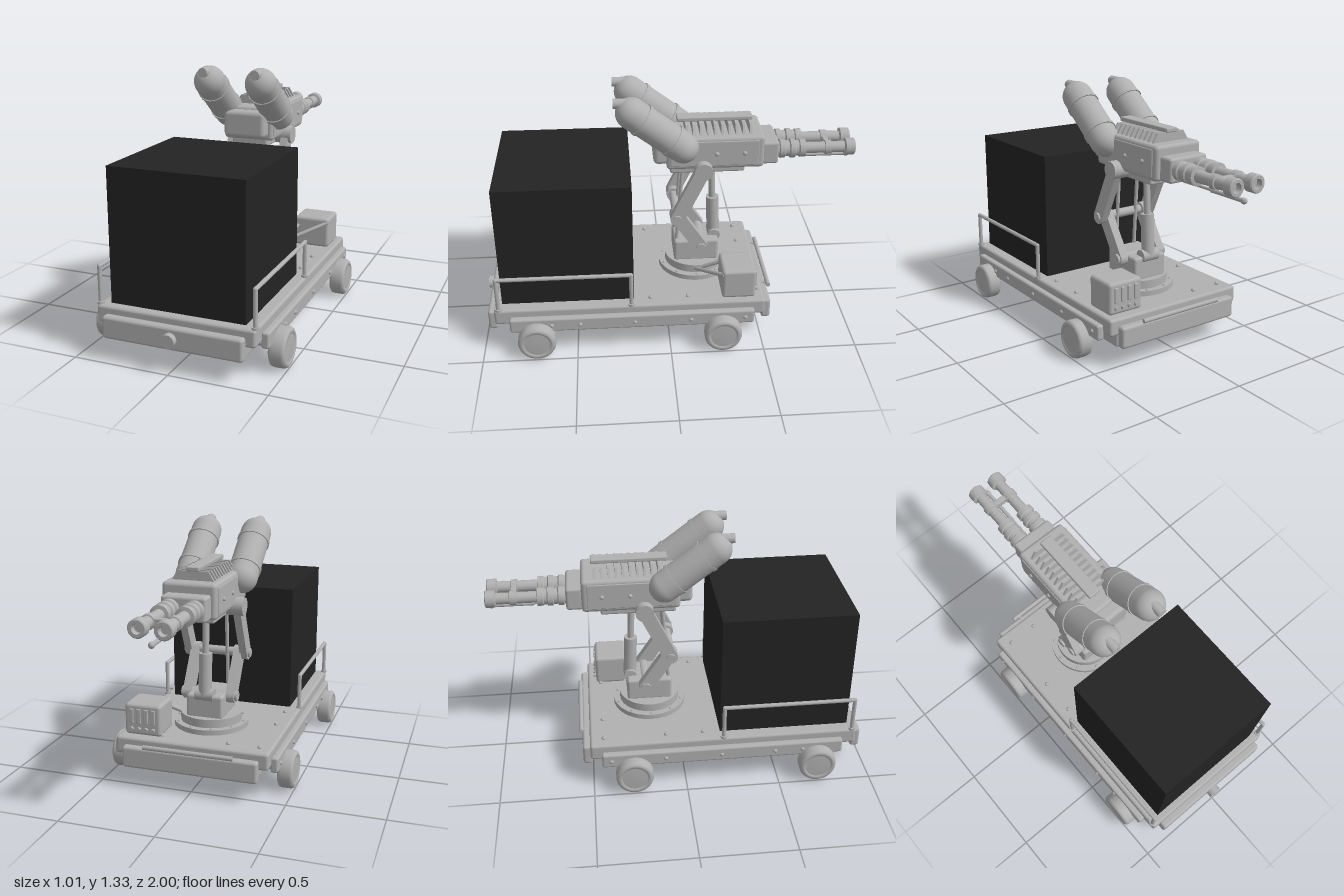
import * as THREE from 'three';
import { RoundedBoxGeometry } from 'three/addons/geometries/RoundedBoxGeometry.js';

const grey = new THREE.MeshStandardMaterial({ color: 0xb0b0b0 });
grey.name = 'light grey';
const black = new THREE.MeshStandardMaterial({ color: 0x232323 });
black.name = 'black';
const V = (x, y, z) => new THREE.Vector3(x, y, z);

export function createModel() {
  const root = new THREE.Group();
  root.name = 'turretCart';

  const add = (name, geo, mat = grey) => {
    const m = new THREE.Mesh(geo, mat);
    m.name = name;
    root.add(m);
    return m;
  };
  // Rounded box given by its limits on each axis
  const box = (name, x0, x1, y0, y1, z0, z1, r = 0.012) => {
    const w = x1 - x0, h = y1 - y0, d = z1 - z0;
    const m = add(name, new RoundedBoxGeometry(w, h, d, 2, Math.min(r, w / 2.1, h / 2.1, d / 2.1)));
    m.position.set((x0 + x1) / 2, (y0 + y1) / 2, (z0 + z1) / 2);
    return m;
  };
  // Turn a y-axis mesh to run between two points
  const align = (m, a, b) => {
    m.position.copy(a).add(b).multiplyScalar(0.5);
    m.quaternion.setFromUnitVectors(V(0, 1, 0), b.clone().sub(a).normalize());
    return m;
  };
  const rod = (name, a, b, r, seg = 24) =>
    align(add(name, new THREE.CylinderGeometry(r, r, a.distanceTo(b), seg)), a, b);
  const ball = (name, x, y, z, r) =>
    add(name, new THREE.SphereGeometry(r, 14, 10)).position.set(x, y, z);
  const sides = [-1, 1];

  // Chassis
  box('deck', -0.41, 0.41, 0.172, 0.262, -0.51, 0.93, 0.015);
  box('underbody', -0.33, 0.33, 0.075, 0.18, -0.45, 0.85);
  box('frontBumper', -0.363, 0.363, 0.11, 0.225, 0.92, 0.97, 0.015);
  box('rearBumper', -0.363, 0.363, 0.11, 0.225, -0.55, -0.5, 0.015);
  rod('frontKnob', V(0, 0.167, 0.96), V(0, 0.167, 1), 0.035);
  rod('rearBar', V(-0.24, 0.237, -0.555), V(0.24, 0.237, -0.555), 0.012, 12);
  for (const x of [-0.2, 0.2]) rod('rearBarBracket', V(x, 0.235, -0.56), V(x, 0.21, -0.51), 0.008, 10);
  for (const s of sides) {
    box('sideSkirt', s * 0.425 - 0.02, s * 0.425 + 0.02, 0.14, 0.222, -0.45, 0.85);
    for (const z of [-0.4, -0.11, 0.19, 0.48, 0.63]) ball('skirtBolt', s * 0.443, 0.18, z, 0.012);
    for (const z of [-0.435, -0.1, 0.1]) ball('deckBolt', s * 0.345, 0.264, z, 0.012);
    ball('deckBolt', s * 0.18, 0.264, -0.435, 0.012);

    // Handrail
    const rail = new THREE.CurvePath();
    const p = [V(0, 0.25, 0.905), V(0, 0.452, 0.905), V(0, 0.452, 0.205), V(0, 0.25, 0.205)];
    for (let i = 0; i < 3; i++) rail.add(new THREE.LineCurve3(p[i], p[i + 1]));
    for (let i = 0; i < 3; i++) rod('handrail', p[i], p[i + 1], 0.011, 12).position.x = s * 0.4;
    for (const q of [p[1], p[2]]) ball('handrailCorner', s * 0.4, q.y, q.z, 0.0115);
    for (const z of [0.905, 0.205]) rod('handrailFoot', V(s * 0.4, 0.26, z), V(s * 0.4, 0.272, z), 0.018, 12);
  }

  // Wheels and axles
  const tyre = [[0, -0.042], [0.085, -0.042], [0.097, -0.034], [0.1, -0.02], [0.1, 0.025], [0.095, 0.036],
    [0.085, 0.042], [0.073, 0.042], [0.07, 0.035], [0.066, 0.039], [0, 0.039]].map(([r, y]) => new THREE.Vector2(r, y));
  for (const z of [0.71, -0.28]) {
    rod('axle', V(-0.44, 0.102, z), V(0.44, 0.102, z), 0.016, 16);
    for (const s of sides) {
      const w = add('wheel', new THREE.LatheGeometry(tyre, 36));
      w.position.set(s * 0.461, 0.1, z);
      w.rotation.z = -s * Math.PI / 2;
    }
  }

  // Cargo cube
  add('cargoCube', new THREE.BoxGeometry(0.7, 0.68, 0.7), black).position.set(0, 0.605, 0.54);

  // Turntable and pedestal
  const tz = -0.165;
  rod('turntableBase', V(0, 0.255, tz), V(0, 0.29, tz), 0.2, 48);
  rod('turntable', V(0, 0.29, tz), V(0, 0.335, tz), 0.165, 48);
  box('pedestal', -0.1, 0.1, 0.325, 0.455, -0.29, -0.045, 0.015);
  for (let i = 0; i < 10; i++) {
    const a = i / 10 * Math.PI * 2;
    ball('turntableBolt', Math.cos(a) * 0.183, 0.29, tz + Math.sin(a) * 0.183, 0.008);
  }

  // Folding arms: rounded links with pivot caps
  const link = (name, a, b, width, thick) => {
    const L = a.distanceTo(b), r = width / 2, s = new THREE.Shape();
    s.absarc(0, L / 2, r, 0, Math.PI);
    s.absarc(0, -L / 2, r, Math.PI, Math.PI * 2);
    s.closePath();
    const g = new THREE.ExtrudeGeometry(s, { depth: thick, bevelEnabled: false, curveSegments: 10 });
    g.translate(0, 0, -thick / 2).rotateY(Math.PI / 2);
    return align(add(name, g), a, b);
  };
  const hinge = (name, y, z, half, r) => rod(name, V(-half, y, z), V(half, y, z), r);
  for (const s of sides) {
    link('lowerArm', V(s * 0.12, 0.435, -0.19), V(s * 0.12, 0.64, -0.055), 0.075, 0.045);
    link('upperArm', V(s * 0.155, 0.64, -0.055), V(s * 0.155, 0.925, -0.19), 0.075, 0.04);
    rod('thinStrut', V(s * 0.06, 0.44, -0.06), V(s * 0.06, 0.89, -0.09), 0.01, 12);
  }
  hinge('lowerHinge', 0.435, -0.19, 0.155, 0.028);
  hinge('elbowHinge', 0.64, -0.055, 0.185, 0.024);
  hinge('topHinge', 0.925, -0.19, 0.19, 0.048);

  // Hydraulic lift
  rod('liftFoot', V(-0.05, 0.455, -0.27), V(0.05, 0.455, -0.27), 0.034);
  rod('liftCylinder', V(0, 0.45, -0.27), V(0, 0.68, -0.26), 0.035);
  rod('liftRod', V(0, 0.67, -0.26), V(0, 0.89, -0.25), 0.018);

  // Gun body
  box('gunBody', -0.14, 0.14, 0.92, 1.1, -0.51, 0, 0.02);
  box('bodyFrontCap', -0.117, 0.117, 0.94, 1.085, -0.02, 0.067, 0.025);
  box('bodyTray', -0.1, 0.1, 0.88, 0.93, -0.415, -0.02, 0.01);
  box('gunMount', -0.115, 0.115, 0.925, 1.05, -0.59, -0.5, 0.015);
  for (const s of sides) {
    box('bodySidePanel', s * 0.14 - 0.005, s * 0.14 + 0.005, 0.942, 1.08, -0.48, -0.02, 0.004);
    for (const z of [-0.26, -0.405]) ball('bodyBolt', s * 0.144, 1.01, z, 0.012);
  }

  // Cooling fins under the top rail
  const fin = new THREE.Shape([[-0.115, 1.09], [0.115, 1.09], [0.08, 1.147], [-0.08, 1.147]]
    .map(([x, y]) => new THREE.Vector2(x, y)));
  for (let i = 0; i < 10; i++)
    add('coolingFin', new THREE.ExtrudeGeometry(fin, { depth: 0.012, bevelEnabled: false })).position.z = -0.445 + i * 0.037;
  box('topRail', -0.034, 0.034, 1.145, 1.168, -0.455, -0.06, 0.006);

  // Twin barrels, radius against distance to the rear
  const barrel = [[0, 0.57], [0.043, 0.57], [0.043, 0.595], [0.05, 0.6], [0.05, 0.625], [0.042, 0.63], [0.042, 0.65],
    [0.05, 0.655], [0.05, 0.68], [0.042, 0.685], [0.042, 0.7], [0.048, 0.705], [0.048, 0.735], [0.03, 0.738], [0.03, 0.84],
    [0.037, 0.842], [0.037, 0.875], [0.03, 0.877], [0.03, 0.945], [0.045, 0.95], [0.045, 0.995], [0.04, 1],
    [0.025, 1], [0.022, 0.97], [0, 0.97]];
  // Doubled corners keep the steps crisp
  const crisp = barrel.flatMap(([r, d]) => [new THREE.Vector2(r, d), new THREE.Vector2(r, d)]);
  for (const s of sides) {
    const b = add('barrel', new THREE.LatheGeometry(crisp, 24));
    b.position.set(s * 0.063, 0.99, 0);
    b.rotation.x = -Math.PI / 2;
  }
  box('barrelClamp', -0.097, 0.097, 0.97, 1.01, -0.875, -0.845, 0.006);
  rod('aimingRod', V(0, 0.92, -0.4), V(0, 0.92, -0.76), 0.008, 12);
  rod('aimingRodTip', V(0, 0.918, -0.76), V(0, 0.918, -0.98), 0.011, 12);
  ball('aimingRodBall', 0, 0.918, -0.98, 0.016);

  // Pressure tanks with bands and valves
  for (const s of sides) {
    const lo = V(s * 0.142, 1.053, -0.083), hi = V(s * 0.142, 1.252, 0.178);
    align(add('tank', new THREE.CapsuleGeometry(0.082, lo.distanceTo(hi), 10, 32)), lo, hi);
    for (const t of [0.2, 0.8]) {
      const c = lo.clone().lerp(hi, t), d = hi.clone().sub(lo).setLength(0.009);
      rod('tankBand', c.clone().sub(d), c.clone().add(d), 0.087, 32);
    }
    rod('tankValve', V(s * 0.142, 1.307, 0.2), V(s * 0.142, 1.307, 0.27), 0.025, 16);
    box('tankBracket', s * 0.12 - 0.03, s * 0.12 + 0.03, 0.98, 1.07, -0.13, -0.03);
  }

  // Power box with rear vents and knobs, tied to the turntable
  box('powerBox', 0.18, 0.38, 0.26, 0.43, -0.46, -0.28, 0.018);
  for (let i = 0; i < 4; i++) {
    const x = 0.22 + i * 0.04;
    box('ventSlat', x - 0.011, x + 0.011, 0.325, 0.405, -0.468, -0.455, 0.004);
    rod('knob', V(x, 0.295, -0.455), V(x, 0.295, -0.475), 0.011, 12);
  }
  rod('powerCable', V(0.15, 0.31, -0.15), V(0.37, 0.405, -0.29), 0.011, 12);
  rod('powerCable', V(0.15, 0.31, -0.18), V(0.2, 0.38, -0.29), 0.011, 12);
  return root;
}
